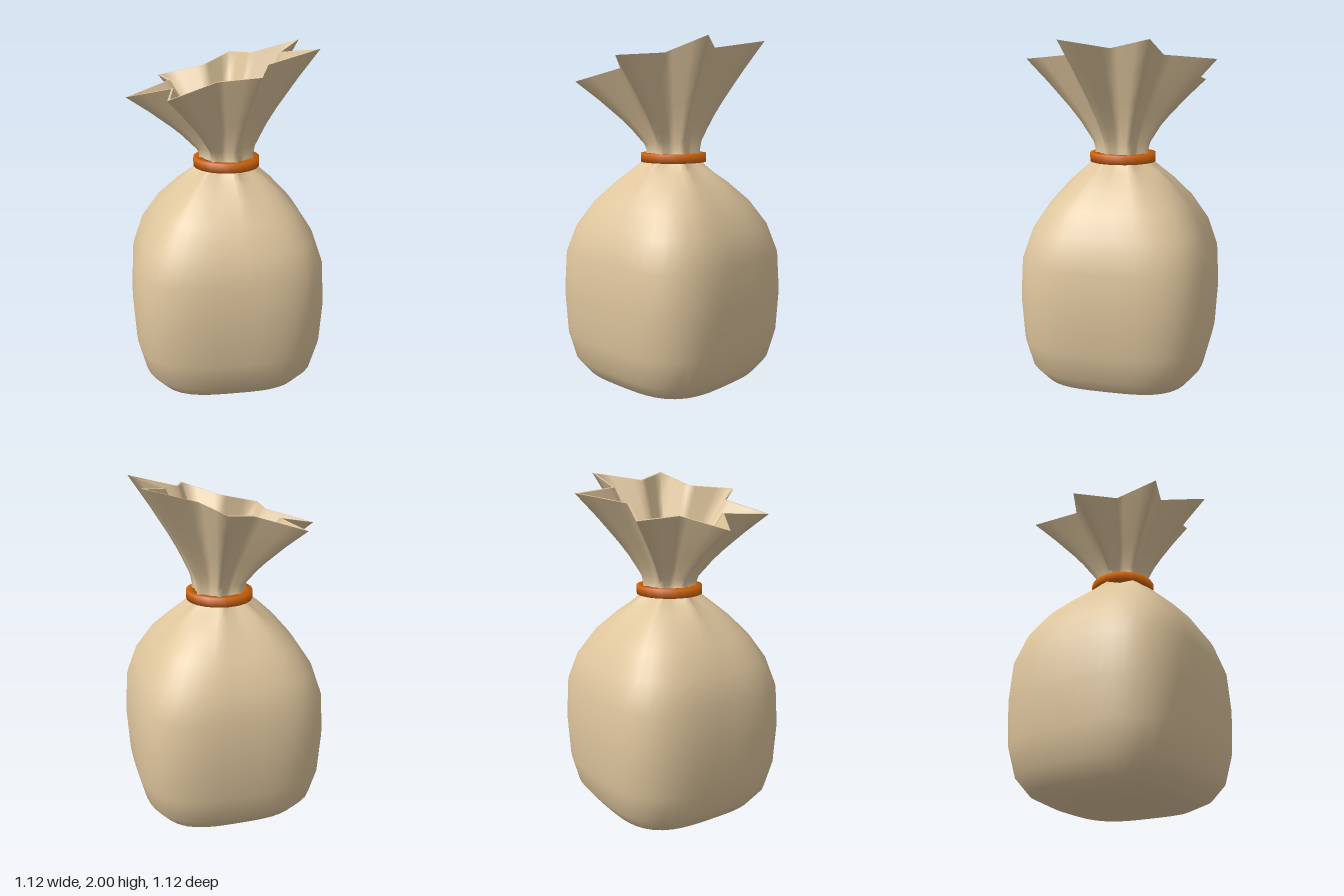
import * as THREE from 'three';

const FOLDS = 7;
const COLS = FOLDS * 8;

// Cross-sections: y, radius at fold tips, radius at fold valleys, tilt along x, squareness
const BODY = [
  [0.0, 0.001, 0.001, 0, 1],
  [0.005, 0.2, 0.2, 0, 1],
  [0.03, 0.335, 0.335, 0, 1],
  [0.08, 0.435, 0.435, 0, 1],
  [0.17, 0.505, 0.505, 0, 1],
  [0.33, 0.545, 0.545, 0, 1],
  [0.57, 0.558, 0.558, 0, 1],
  [0.8, 0.545, 0.545, 0, 1],
  [0.96, 0.492, 0.48, 0, 0.97],
  [1.1, 0.405, 0.37, 0, 0.88],
  [1.21, 0.31, 0.26, 0, 0.65],
  [1.28, 0.235, 0.185, 0, 0.35],
  [1.33, 0.175, 0.13, 0, 0.1],
];
const COLLAR = [
  [1.36, 0.16, 0.117, 0, 0],
  [1.4, 0.158, 0.115, 0.03, 0],
  [1.44, 0.17, 0.12, 0.09, 0],
  [1.49, 0.205, 0.137, 0.15, 0],
  [1.55, 0.247, 0.163, 0.19, 0],
  [1.62, 0.305, 0.2, 0.22, 0],
  [1.75, 0.425, 0.268, 0.25, 0],
  [1.875, 0.55, 0.335, 0.266, 0],
];

// Radius of a seven-pointed star with straight edges
function starRadius(angle, tip, valley) {
  const step = Math.PI / FOLDS;
  let a = (angle - Math.PI) % (2 * step);
  if (a < 0) a += 2 * step;
  if (a > step) a = 2 * step - a;
  return tip * valley * Math.sin(step) / (tip * Math.sin(a) + valley * Math.sin(step - a));
}

// Radius of a rounded square
function squareRadius(angle, r) {
  const n = 3.3;
  return r / Math.pow(Math.abs(Math.cos(angle)) ** n + Math.abs(Math.sin(angle)) ** n, 1 / n);
}

// Skin through a list of cross-sections
function loft(levels) {
  const pos = [], index = [];
  levels.forEach(([y, tip, valley, tilt, square], i) => {
    const shift = square === 0 ? THREE.MathUtils.lerp(0.012, -0.011, THREE.MathUtils.clamp((y - 1.4) / 0.475, 0, 1)) : 0;
    for (let j = 0; j < COLS; j++) {
      const t = Math.PI + j / COLS * Math.PI * 2;
      const r = THREE.MathUtils.lerp(starRadius(t, tip, valley), squareRadius(t, tip), square);
      const x = r * Math.cos(t) * (1 - 0.11 * tilt) + shift;
      pos.push(x, y + tilt * x, r * Math.sin(t));
      if (i === levels.length - 1) continue;
      const a = i * COLS + j, b = i * COLS + (j + 1) % COLS;
      index.push(a, a + COLS, b, b, a + COLS, b + COLS);
    }
  });
  const geo = new THREE.BufferGeometry();
  geo.setAttribute('position', new THREE.Float32BufferAttribute(pos, 3));
  geo.setIndex(index);
  geo.computeVertexNormals();
  return geo;
}

export function createModel() {
  const group = new THREE.Group();
  const cloth = new THREE.MeshStandardMaterial({ name: 'tan cloth', color: 0xdec59d });
  const orange = new THREE.MeshStandardMaterial({ name: 'orange band', color: 0xd2650c });

  const add = (name, geo, mat) => {
    const mesh = new THREE.Mesh(geo, mat);
    mesh.name = name;
    group.add(mesh);
    return mesh;
  };

  // Outer cloth from the base to the flared rim
  const outer = [...BODY, ...COLLAR];
  add('sackOutside', loft(outer), cloth);

  // Lining, slightly smaller, from the rim down to the floor
  const inner = outer.map(([y, tip, valley, tilt, square]) => [
    Math.max(y, 0.03 + y * 0.2),
    Math.max(tip - 0.024, 0.001),
    Math.max(valley - (square ? 0.024 : 0.013), 0.001),
    tilt, square,
  ]).reverse();
  add('sackLining', loft(inner), cloth);

  // Hem joining both layers
  add('rim', loft([outer[outer.length - 1], inner[0]]), cloth);

  // Tie band around the neck
  const profile = [[0.14, 1.33], [0.19, 1.33], [0.19, 1.38], [0.14, 1.38], [0.14, 1.33]]
    .map(([r, y]) => new THREE.Vector2(r, y));
  const bandGeo = new THREE.BufferGeometry().copy(new THREE.LatheGeometry(profile, 20));
  const band = add('tieBand', bandGeo, orange);
  band.position.x = 0.01;

  return group;
}
